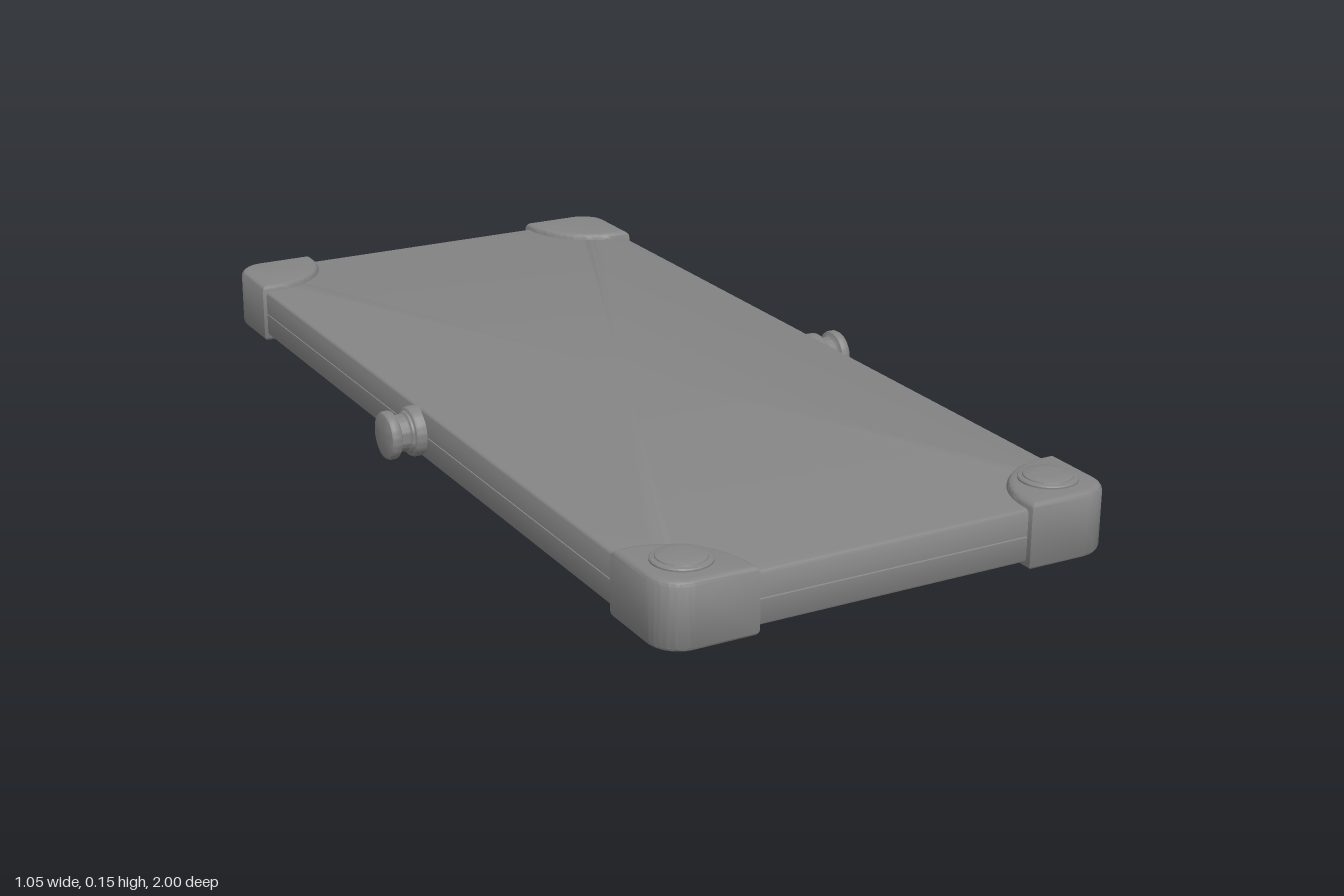
import * as THREE from 'three';
import { toCreasedNormals } from 'three/addons/utils/BufferGeometryUtils.js';

const MID = 0.0755; // height of the seam
const HALF_X = 0.461, HALF_Z = 1; // outer corners of the guards
const material = new THREE.MeshStandardMaterial({ color: 0x858585 });

function add(parent, name, geometry, x = 0, y = 0, z = 0) {
  const mesh = new THREE.Mesh(geometry, material);
  mesh.name = name;
  mesh.position.set(x, y, z);
  parent.add(mesh);
  return mesh;
}

// Turned part; spreadX and spreadZ pull its quarters apart into a rounded rectangle
function turned(points, spreadX = 0, spreadZ = 0) {
  const segments = 40;
  const profile = points.map(([r, y]) => new THREE.Vector2(r, y));
  const geometry = new THREE.LatheGeometry(profile, segments, Math.PI / segments);
  const p = geometry.attributes.position;
  for (let i = 0; i < p.count; i++) {
    p.setX(i, p.getX(i) + Math.sign(p.getX(i)) * spreadX);
    p.setZ(i, p.getZ(i) + Math.sign(p.getZ(i)) * spreadZ);
  }
  return toCreasedNormals(geometry, 0.6);
}

// Corner guard: rounded outside, quarter-circle edge towards the panel.
// Its outer corner sits at the origin, pointing to +x and -z.
function guardGeometry() {
  const s = 0.184, straight = 0.025, r = 0.062, bevel = 0.014, height = 0.128;
  const shape = new THREE.Shape();
  shape.moveTo(-s, 0);
  shape.lineTo(-s, -straight);
  shape.absarc(-straight, -straight, s - straight, Math.PI, 1.5 * Math.PI, false);
  shape.lineTo(0, -s);
  shape.lineTo(0, -r);
  shape.absarc(-r, -r, r, 0, Math.PI / 2, false);
  shape.closePath();
  const geometry = new THREE.ExtrudeGeometry(shape, {
    depth: height - 2 * bevel, curveSegments: 16,
    bevelThickness: bevel, bevelSize: bevel, bevelOffset: -bevel, bevelSegments: 4,
  });
  geometry.translate(0, 0, bevel - height / 2);
  geometry.rotateX(-Math.PI / 2);
  return toCreasedNormals(geometry, 0.6);
}

export function createModel() {
  const model = new THREE.Group();
  model.name = 'foldedCase';

  // Panel with softened edges and a fine seam around the middle
  const upper = [[0.055, 0.0012], [0.055, 0.041], [0.0542, 0.0448],
    [0.0521, 0.0481], [0.0488, 0.0502], [0.045, 0.051], [0, 0.051]];
  const lower = upper.map(([r, y]) => [r, -y]).reverse();
  add(model, 'panel', turned([...lower, [0.052, 0], ...upper], 0.398, 0.934), 0, MID, 0);

  // Corner guards, with round pads on top at the front and below at the back
  const guard = guardGeometry();
  const pad = turned([[0.055, 0.055], [0.055, 0.067], [0.053, 0.069], [0.046, 0.07],
    [0.045, 0.0725], [0.041, 0.0742], [0.025, 0.0752], [0, 0.0755]]);
  [[1, -1], [-1, -1], [-1, 1], [1, 1]].forEach(([sx, sz], i) => {
    const name = (sz > 0 ? 'front' : 'back') + (sx > 0 ? 'Left' : 'Right');
    add(model, name + 'Guard', guard, sx * HALF_X, MID, sz * HALF_Z).rotation.y = i * Math.PI / 2;
    const mesh = add(model, name + 'Pad', pad, sx * 0.377, MID, sz * 0.91);
    if (sz < 0) mesh.rotation.x = Math.PI;
  });

  // Side knobs: stepped base, neck and rounded head
  const knob = turned([[0.05, 0.44], [0.05, 0.468], [0.047, 0.473], [0.042, 0.475],
    [0.041, 0.479], [0.037, 0.482], [0.036, 0.499], [0.039, 0.502], [0.046, 0.504],
    [0.048, 0.508], [0.048, 0.518], [0.045, 0.523], [0.04, 0.525], [0, 0.525]]);
  for (const side of [1, -1]) {
    const mesh = add(model, side > 0 ? 'leftKnob' : 'rightKnob', knob, 0, MID, 0);
    mesh.rotation.z = -side * Math.PI / 2;
  }
  return model;
}
